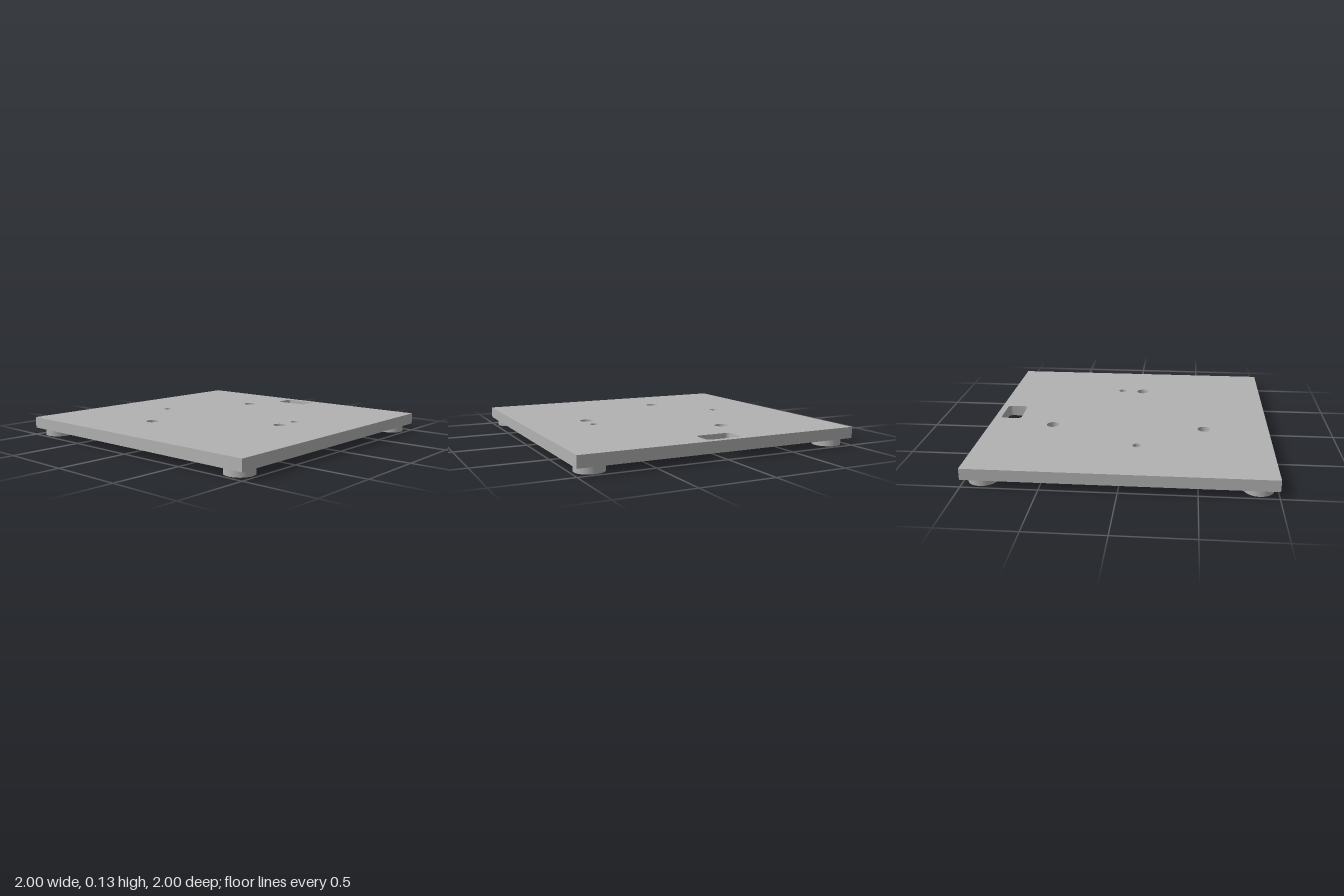
import * as THREE from 'three';
import { toCreasedNormals } from 'three/addons/utils/BufferGeometryUtils.js';

const FOOT_HEIGHT = 0.05;
const PLATE_TOP = 0.128;

function circle(Type, x, z, r) {
  const path = new Type();
  path.absarc(x, z, r, 0, Math.PI * 2, false);
  return path;
}

function roundedRect(x0, x1, z0, z1, r) {
  const p = new THREE.Path();
  p.absarc(x1 - r, z1 - r, r, 0, Math.PI / 2, false);
  p.absarc(x0 + r, z1 - r, r, Math.PI / 2, Math.PI, false);
  p.absarc(x0 + r, z0 + r, r, Math.PI, Math.PI * 1.5, false);
  p.absarc(x1 - r, z0 + r, r, Math.PI * 1.5, Math.PI * 2, false);
  p.closePath();
  return p;
}

// Extrudes a plan shape (x, z) downwards from height top to height bottom.
function slab(shape, bottom, top) {
  const geometry = new THREE.ExtrudeGeometry(shape, {
    depth: top - bottom, bevelEnabled: false, curveSegments: 24,
  });
  geometry.rotateX(Math.PI / 2);
  geometry.translate(0, top, 0);
  return toCreasedNormals(geometry, Math.PI / 6);
}

export function createModel() {
  const model = new THREE.Group();
  model.name = 'basePlate';
  const grey = new THREE.MeshStandardMaterial({ color: 0xb2b2b2 });
  grey.name = 'grey';

  // Square plate with mounting holes, pin holes and a cable slot
  const outline = new THREE.Shape([
    new THREE.Vector2(-1, -1), new THREE.Vector2(1, -1),
    new THREE.Vector2(1, 1), new THREE.Vector2(-1, 1),
  ]);
  const holes = [
    [-0.543, -0.228, 0.045], [0.543, -0.228, 0.045], [-0.057, 0.54, 0.045],
    [-0.087, -0.55, 0.029], [0.108, 0.545, 0.029],
  ];
  for (const [x, z, r] of holes) outline.holes.push(circle(THREE.Path, x, z, r));
  outline.holes.push(roundedRect(0.804, 0.954, -0.126, 0.124, 0.03));
  const plate = new THREE.Mesh(slab(outline, FOOT_HEIGHT, PLATE_TOP), grey);
  plate.name = 'plate';
  model.add(plate);

  // Four round feet, each with a screw hole
  const ring = circle(THREE.Shape, 0, 0, 0.097);
  ring.holes.push(circle(THREE.Path, 0, 0, 0.027));
  const footGeometry = slab(ring, 0, FOOT_HEIGHT);
  for (const sx of [-1, 1]) {
    for (const sz of [-1, 1]) {
      const foot = new THREE.Mesh(footGeometry, grey);
      foot.name = (sz > 0 ? 'front' : 'back') + (sx > 0 ? 'Left' : 'Right') + 'Foot';
      foot.position.set(sx * 0.879, 0, sz * 0.879);
      model.add(foot);
    }
  }
  return model;
}
